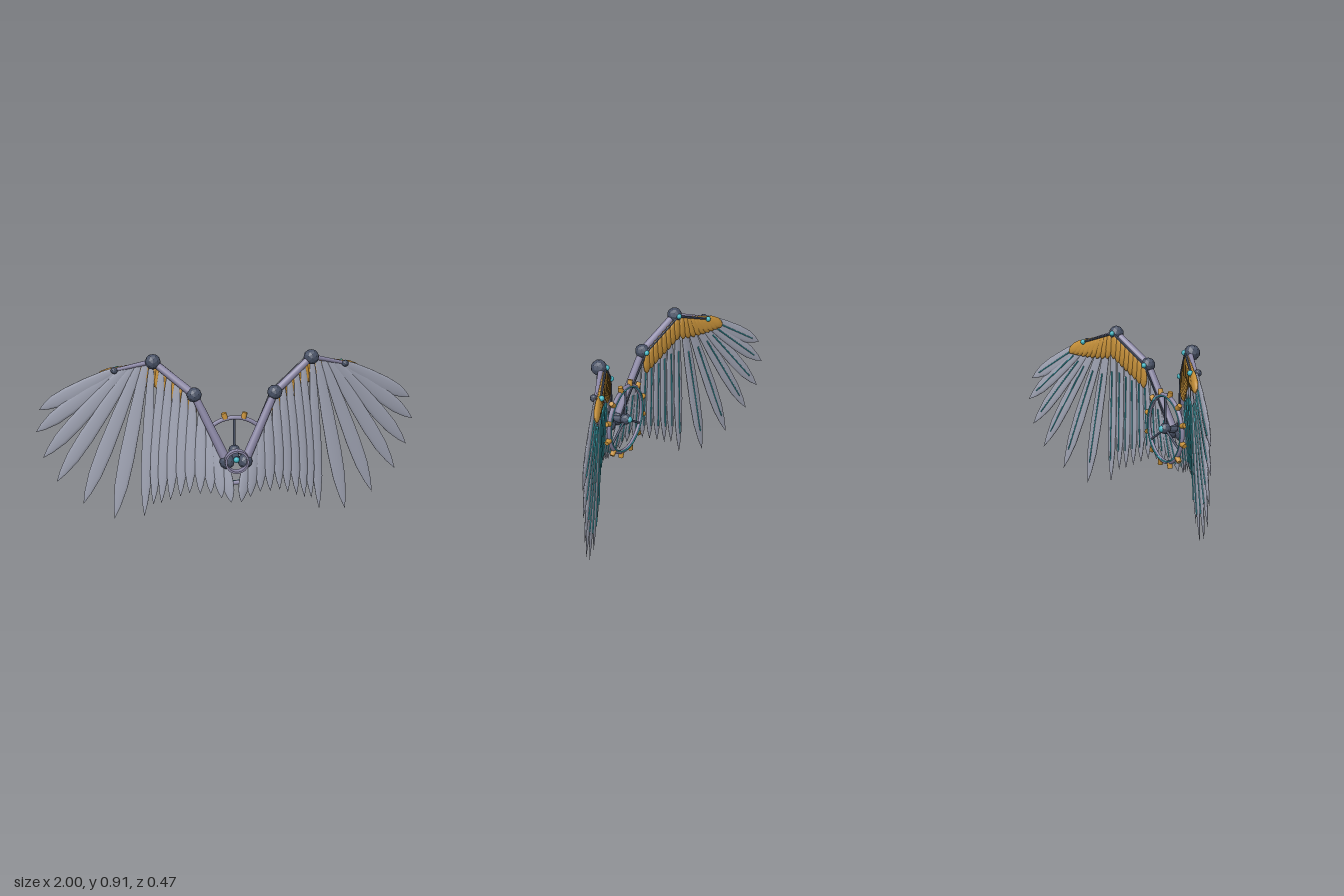
import * as THREE from 'three';

const mat = (name, color, extra = {}) =>
  Object.assign(new THREE.MeshStandardMaterial({ color, ...extra }), { name });
const V = (x, y, z) => new THREE.Vector3(x, y, z);

// Wing joints (left side) and feather tips from the outermost to the innermost
const SHOULDER = [0.045, 0.385, 0.178], ELBOW = [0.2, 0.718, 0.112];
const WRIST = [0.395, 0.868, 0.025], HAND = [0.585, 0.805, -0.055];
const TIPS = [
  [0.976, 0.556, -0.22], [1.0, 0.43, -0.233], [0.97, 0.29, -0.222], [0.905, 0.165, -0.187],
  [0.77, 0.06, -0.125], [0.61, 0.0, -0.052], [0.457, 0.035, 0.018], [0.41, 0.11, 0.045],
  [0.37, 0.125, 0.066], [0.325, 0.15, 0.088], [0.275, 0.175, 0.108], [0.23, 0.2, 0.128],
  [0.178, 0.205, 0.15], [0.125, 0.21, 0.166], [0.072, 0.19, 0.182], [0.025, 0.17, 0.196],
];

// Flattened blade growing along +y: rows are [position, half width]
function blade(rows, length, width, thickness) {
  const pts = rows.map(([t, w]) => new THREE.Vector2(Math.max(w, 0.0001), t));
  return new THREE.LatheGeometry(pts, 10).scale(width, length, thickness);
}
const FEATHER = [[0, 0], [0.01, 0.35], [0.12, 0.62], [0.35, 0.88], [0.6, 1], [0.78, 0.88], [0.91, 0.48], [1, 0]];
const COVERT = [[0, 0], [0.03, 0.5], [0.25, 0.85], [0.6, 1], [0.82, 0.8], [0.95, 0.4], [1, 0]];

export function createModel() {
  const model = new THREE.Group();
  model.name = 'mechanicalWings';
  const feather = mat('feather grey', 0xa3a7b7);
  const bone = mat('bone lilac', 0x8a86a4);
  const joint = mat('joint slate', 0x475064, { flatShading: true });
  const gold = mat('covert gold', 0xc8923a);
  const glow = mat('glow cyan', 0x3fb4c2);

  const add = (parent, name, geometry, material, pos) => {
    const mesh = new THREE.Mesh(geometry, material);
    mesh.name = name;
    if (pos) mesh.position.copy(pos);
    parent.add(mesh);
    return mesh;
  };
  const rod = (parent, name, a, b, r1, r2, material) => {
    const d = b.clone().sub(a);
    const mesh = add(parent, name, new THREE.CylinderGeometry(r2, r1, d.length(), 12), material,
      a.clone().add(b).multiplyScalar(0.5));
    mesh.quaternion.setFromUnitVectors(V(0, 1, 0), d.normalize());
    return mesh;
  };

  function makeWing(s) {
    const wing = new THREE.Group();
    wing.name = s > 0 ? 'leftWing' : 'rightWing';
    const P = ([x, y, z]) => V(s * x, y, z);
    const [shoulder, elbow, wrist, hand] = [SHOULDER, ELBOW, WRIST, HAND].map(P);
    const normal = V(0.4 * s, 0, 0.917);
    const behind = (p, d) => p.clone().addScaledVector(normal, -d);

    // Arm bones and ball joints
    rod(wing, 'upperArm', shoulder, elbow, 0.024, 0.019, bone);
    rod(wing, 'forearm', elbow, wrist, 0.02, 0.018, bone);
    rod(wing, 'handBone', behind(wrist, 0.01), behind(hand, 0.01), 0.013, 0.009, bone);
    for (const [name, p, r] of [['shoulderJoint', shoulder, 0.038], ['elbowJoint', elbow, 0.038],
      ['wristJoint', wrist, 0.039], ['handJoint', hand, 0.018]])
      add(wing, name, new THREE.IcosahedronGeometry(r, 1), joint, p);

    // Root and tip of a feather at a fractional index
    const mix = (a, b, t) => a.clone().lerp(b, t);
    const root = (u) => u <= 6 ? mix(hand, wrist, u / 6 * 0.95)
      : u <= 11 ? mix(wrist, elbow, (u - 6) / 5 * 0.95)
      : mix(elbow, shoulder, (u - 11) / 5);
    const tip = (u) => {
      const i = Math.min(Math.floor(u), TIPS.length - 2);
      return mix(P(TIPS[i]), P(TIPS[i + 1]), u - i);
    };
    // Lay a blade along a direction with its flat side facing the wing normal
    const place = (mesh, pos, dir, twist) => {
      const y = dir.clone().normalize();
      const x = new THREE.Vector3().crossVectors(y, normal).normalize();
      const z = new THREE.Vector3().crossVectors(x, y);
      mesh.quaternion.setFromRotationMatrix(new THREE.Matrix4().makeBasis(x, y, z));
      mesh.rotateY(twist);
      mesh.position.copy(pos);
    };

    // Long flight feathers, each with a glowing shaft on the back
    TIPS.forEach((_, i) => {
      const a = behind(root(i), 0.008 + (i % 2) * 0.004), b = tip(i), d = b.clone().sub(a);
      const width = i < 6 ? 0.041 : 0.031;
      const quill = new THREE.Group();
      quill.name = 'flightFeather' + (i + 1);
      add(quill, 'vane', blade(FEATHER, d.length(), width, 0.009), feather);
      const len = d.length() * 0.6;
      add(quill, 'glowingShaft', new THREE.CylinderGeometry(0.003, 0.004, len, 6), glow,
        V(0, d.length() * 0.25 + len / 2, -0.009));
      place(quill, a, d, 0.12 * s);
      wing.add(quill);
    });

    // Overlapping gold coverts across the back
    for (let k = 0; k < 17; k++) {
      const u = k * 0.68, a = root(u), d = tip(u).sub(a);
      const mesh = add(wing, 'covert' + (k + 1), blade(COVERT, 0.135, 0.03, 0.013), gold);
      place(mesh, behind(a, 0.024), d, 0.25 * s);
    }

    // Cable and glowing beads along the back of the arm
    const path = new THREE.CurvePath();
    const stops = [shoulder, elbow, wrist, hand].map((p, i) => behind(p, i < 1 ? 0.02 : 0.032));
    for (let i = 0; i < 3; i++) path.add(new THREE.LineCurve3(stops[i], stops[i + 1]));
    add(wing, 'armCable', new THREE.TubeGeometry(path, 36, 0.006, 6), joint);
    [elbow, wrist, hand].forEach((p) =>
      add(wing, 'glowBead', new THREE.SphereGeometry(0.014, 12, 8), glow, behind(p, 0.036)));
    return wing;
  }
  model.add(makeWing(1), makeWing(-1));

  // Chest mount: open rim with a rear-facing plate
  const mount = new THREE.Group();
  mount.name = 'mount';
  mount.position.set(0, 0.4, 0);
  const rim = [[0.05, -0.0175], [0.06, -0.0175], [0.06, 0.0175], [0.05, 0.0175], [0.05, -0.0175]]
    .map(([x, y]) => new THREE.Vector2(x, y));
  const rimGeo = new THREE.LatheGeometry(rim, 24).toNonIndexed();
  rimGeo.computeVertexNormals();
  add(mount, 'mountRim', rimGeo, bone, V(0, 0, 0.217)).rotation.x = Math.PI / 2;
  add(mount, 'mountPlate', new THREE.CircleGeometry(0.058, 24), bone, V(0, 0, 0.2)).rotation.y = Math.PI;
  rod(mount, 'axle', V(0, 0.01, 0.1), V(0, 0, 0.195), 0.018, 0.018, joint);
  add(mount, 'frontGem', new THREE.SphereGeometry(0.015, 12, 8), glow, V(0, 0, 0.198));
  model.add(mount);

  // Rear ring with hub, spokes and gold studs
  const ring = new THREE.Group();
  ring.name = 'rearRing';
  ring.position.set(0, 0.415, 0.103);
  add(ring, 'ringBand', new THREE.TorusGeometry(0.175, 0.011, 10, 48), bone);
  add(ring, 'ringGlow', new THREE.TorusGeometry(0.17, 0.004, 6, 48), glow, V(0, 0, -0.01));
  add(ring, 'hub', new THREE.IcosahedronGeometry(0.03, 1), joint);
  add(ring, 'hubGem', new THREE.SphereGeometry(0.018, 12, 8), glow, V(0, 0, -0.02));
  for (let i = 0; i < 3; i++) {
    const a = Math.PI / 6 + i * Math.PI * 2 / 3 + Math.PI / 3 * 2;
    rod(ring, 'spoke', V(0, 0, 0), V(0.172 * Math.cos(a + Math.PI), 0.172 * Math.sin(a + Math.PI), 0),
      0.006, 0.006, joint);
  }
  for (let i = 0; i < 12; i++) {
    const a = (i + 0.5) * Math.PI / 6;
    const stud = add(ring, 'stud', new THREE.CylinderGeometry(0.013, 0.015, 0.03, 8), gold,
      V(0.192 * Math.cos(a), 0.192 * Math.sin(a), 0));
    stud.rotation.z = a - Math.PI / 2;
  }
  model.add(ring);
  return model;
}
